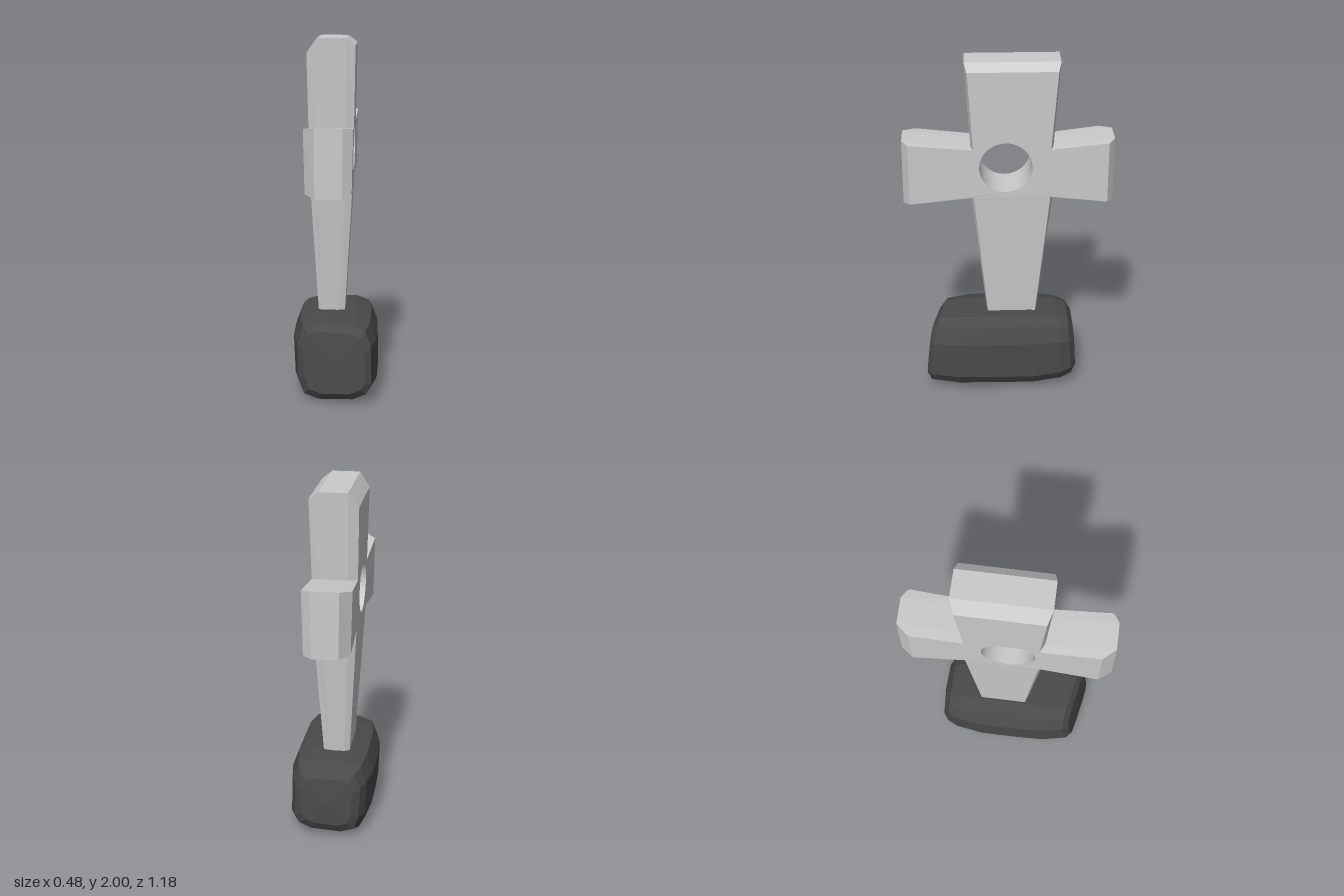
import * as THREE from 'three';

// Quads between two loops of points, seen from outside when loops run anticlockwise about the axis from a to b
function band(out, a, b) {
  a.forEach((p, i) => {
    const j = (i + 1) % a.length;
    out.push(p, a[j], b[j], p, b[j], b[i]);
  });
}

function meshFrom(points, name, color) {
  const geometry = new THREE.BufferGeometry().setFromPoints(points);
  geometry.computeVertexNormals();
  const mesh = new THREE.Mesh(geometry, new THREE.MeshStandardMaterial({ color, flatShading: true }));
  mesh.name = name;
  return mesh;
}

// Cross outline in (u = -z, v = y); d insets the flanks, tip the arm ends, top the head
function crossOutline(d, tip, top) {
  const w = 0.59 - tip;
  return [
    [-0.12 + d / 2, 0.4], [0.16 - d / 2, 0.4], [0.25 - d, 1.21 + d / 2],
    [w, 1.175 + d / 2], [w, 1.55 - d / 2], [0.25 - d, 1.51 - d / 4],
    [0.285 - d, 2 - top], [-0.24 + d, 2 - top], [-0.21 + d, 1.51 - d / 4],
    [-w, 1.55 - d / 2], [-w, 1.175 + d / 2], [-0.21 + d, 1.21 + d / 2],
  ].map(([u, v]) => new THREE.Vector2(u, v));
}

// Thickness grows quickly up the stem, then slowly above the arms
function ramp(low, mid, high, y) {
  return y < 1.21
    ? THREE.MathUtils.mapLinear(y, 0.45, 1.21, low, mid)
    : THREE.MathUtils.mapLinear(y, 1.21, 1.96, mid, high);
}
const rightX = (u, y) => ramp(0.05, 0.096, 0.11, y) + 0.015 * Math.max(0, Math.abs(u) - 0.25);
const leftX = (u, y) => -ramp(0.1, 0.145, 0.16, y) - 0.03 * Math.max(0, Math.abs(u) - 0.25);
const rightMidX = (u, y) => ramp(0.01, 0.05, 0.057, y);
const leftMidX = (u, y) => -ramp(0.07, 0.097, 0.102, y);

function makeCross() {
  const place = (pts, fx) => pts.map((p) => new THREE.Vector3(fx(p.x, p.y), p.y, -p.x));
  const points = [];
  const right = crossOutline(0.015, 0.035, 0.04);
  const left = crossOutline(0.025, 0.07, 0.08);
  const mid = crossOutline(0, 0, 0);

  // bevelled rim, from the left face to the right face
  const layers = [place(left, leftX), place(mid, leftMidX), place(mid, rightMidX), place(right, rightX)];
  for (let i = 0; i < 3; i++) band(points, layers[i], layers[i + 1]);

  // round hole, with a flat top on the left face
  const circle = [];
  for (let i = 0; i < 40; i++) {
    const a = -(i / 40) * Math.PI * 2;
    circle.push(new THREE.Vector2(-0.015 + 0.148 * Math.cos(a), 1.4 + 0.148 * Math.sin(a)));
  }
  const flatCircle = circle.map((p) => new THREE.Vector2(p.x, Math.min(p.y, 1.525)));
  band(points, place(flatCircle, leftX), place(circle, rightX));

  // the two broad faces
  const face = (outline, hole, fx, flip) => {
    const all = place([...outline, ...hole], fx);
    for (const [a, b, c] of THREE.ShapeUtils.triangulateShape(outline, [hole])) {
      const normal = new THREE.Vector3().crossVectors(
        all[b].clone().sub(all[a]), all[c].clone().sub(all[a]));
      if ((normal.x > 0) !== flip) points.push(all[a], all[b], all[c]);
      else points.push(all[a], all[c], all[b]);
    }
  };
  face(right, circle, rightX, false);
  face(left, flatCircle, leftX, true);
  return meshFrom(points, 'cross', 0xcccccc);
}

function makeBase() {
  // cross-section in (x, y), anticlockwise seen from the front
  const section = [
    [0.12, 0.015], [0.205, 0.05], [0.24, 0.11], [0.236, 0.33], [0.2, 0.425], [0.12, 0.455],
    [-0.11, 0.455], [-0.2, 0.43], [-0.24, 0.33], [-0.23, 0.12], [-0.195, 0.03], [-0.1, 0.003],
  ];
  // z, width and height of each section, back to front
  const stations = [
    [-0.405, 0, 0], [-0.395, 0.6, 0.62], [-0.365, 0.78, 0.84], [-0.3, 0.9, 0.93], [-0.14, 1, 1],
    [0.06, 1, 1], [0.27, 0.98, 0.99], [0.42, 0.86, 0.93], [0.45, 0.72, 0.76], [0.455, 0, 0],
  ];
  const rings = stations.map(([z, sx, sy]) => section.map(([px, py]) => {
    const x = px * sx;
    const y = 0.23 + (py - 0.23) * sy;
    // the front end is skewed and leans back towards the top
    const front = Math.max(0, z / 0.45);
    const back = Math.max(0, -z / 0.4);
    const shift = front * (0.2 * x - 0.1 * (y - 0.12)) + back * 0.07 * (y - 0.15);
    return new THREE.Vector3(x, y, z + shift);
  }));
  const points = [];
  for (let i = 0; i < rings.length - 1; i++) band(points, rings[i], rings[i + 1]);
  return meshFrom(points, 'stoneBase', 0x4a4a4a);
}

export function createModel() {
  const group = new THREE.Group();
  group.name = 'stoneCross';
  group.add(makeCross(), makeBase());
  return group;
}
